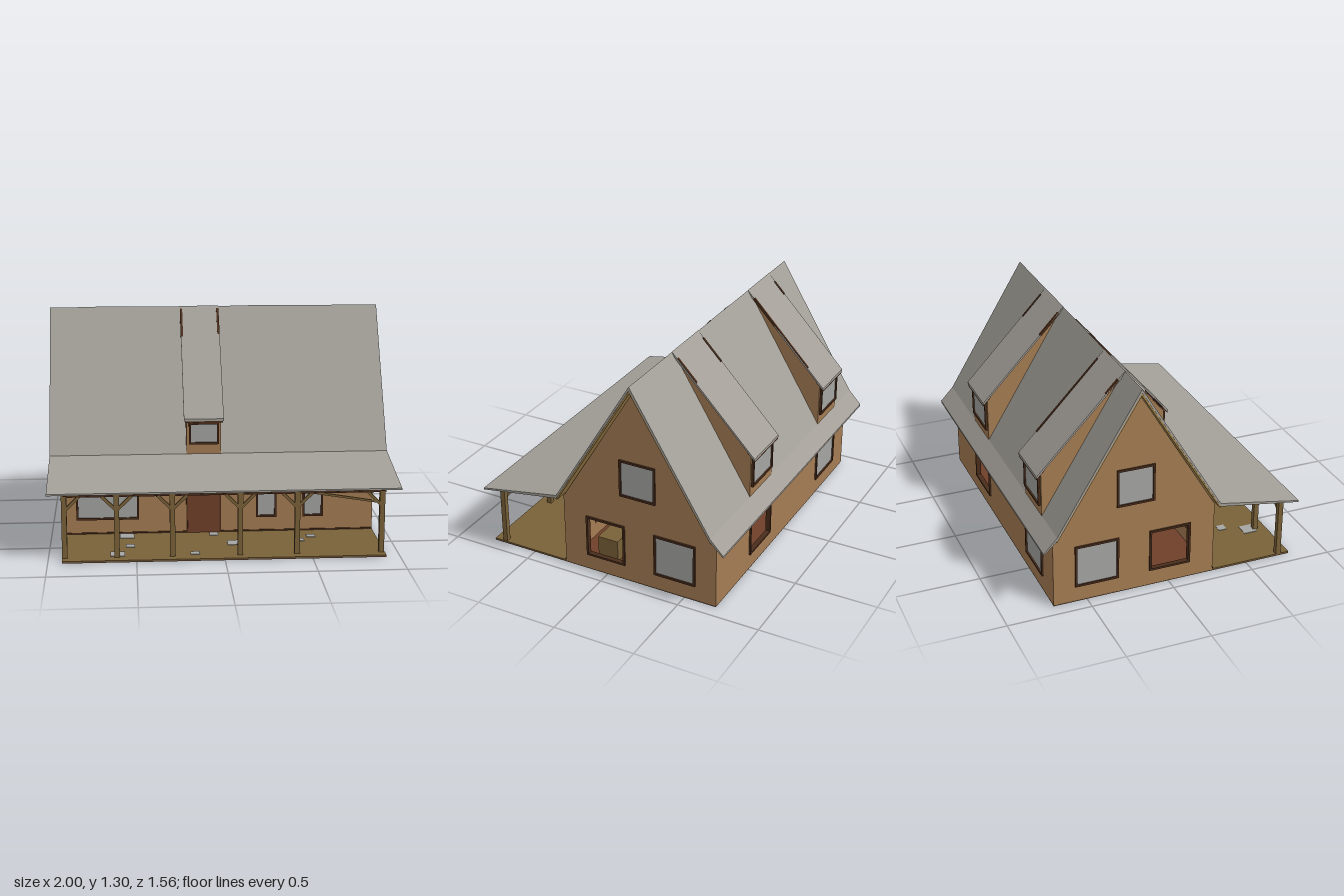
import * as THREE from 'three';

const mat = (name, color, side = THREE.FrontSide) => {
  const m = new THREE.MeshStandardMaterial({ color, side });
  m.name = name;
  return m;
};

export function createModel() {
  const house = new THREE.Group();
  house.name = 'house';
  const M = {
    roof: mat('roof grey', 0xa39f98),
    wall: mat('wall tan', 0xa57c53),
    frame: mat('dark wood', 0x4c2e1c),
    door: mat('door red brown', 0x70402a),
    post: mat('post olive', 0x7a6238),
    soffit: mat('soffit tan', 0xa8884e),
    glass: mat('glass grey', 0xa5a5a3),
    base: mat('base brown', 0x72543a),
  };

  const add = (name, geo, material, parent = house) => {
    const mesh = new THREE.Mesh(geo, material);
    mesh.name = name;
    parent.add(mesh);
    return mesh;
  };
  // box from minimum and maximum corners
  const box = (name, x0, x1, y0, y1, z0, z1, material, parent) => {
    const g = new THREE.BoxGeometry(x1 - x0, y1 - y0, z1 - z0);
    g.translate((x0 + x1) / 2, (y0 + y1) / 2, (z0 + z1) / 2);
    return add(name, g, material, parent);
  };
  // square timber between two points
  const strut = (name, a, b, w, material) => {
    const p = new THREE.Vector3(...a), q = new THREE.Vector3(...b);
    const mesh = add(name, new THREE.BoxGeometry(w, w, p.distanceTo(q)), material);
    mesh.position.copy(p).add(q).multiplyScalar(0.5);
    mesh.lookAt(q);
    return mesh;
  };
  const rect = ([a, b, y0, y1]) =>
    [[a, y0], [b, y0], [b, y1], [a, y1]].map(p => new THREE.Vector2(...p));
  // flat panel with rectangular openings
  const panel = (pts, holes, depth) => {
    const s = new THREE.Shape(pts.map(p => new THREE.Vector2(...p)));
    holes.forEach(h => s.holes.push(new THREE.Path(rect(h))));
    return new THREE.ExtrudeGeometry(s, { depth, bevelEnabled: false });
  };
  // (z, y) outline swept from x0 to x1
  const sweep = (name, zy, x0, x1, material) => {
    const g = panel(zy.map(([z, y]) => [-z, y]), [], x1 - x0);
    g.rotateY(Math.PI / 2).translate(x0, 0, 0);
    return add(name, g, material);
  };
  // window: u range, y range; placed in a group facing +z
  const windowUnit = ([a, b, y0, y1], glazed, mullion) => {
    const g = new THREE.Group();
    g.name = 'window';
    const t = 0.012;
    add('windowFrame', panel(
      [[a - t / 2, y0 - t / 2], [b + t / 2, y0 - t / 2], [b + t / 2, y1 + t / 2], [a - t / 2, y1 + t / 2]],
      [[a + t / 2, b - t / 2, y0 + t / 2, y1 - t / 2]], 0.03).translate(0, 0, -0.02), M.frame, g);
    if (glazed) box('windowGlass', a, b, y0, y1, -0.007, 0.001, M.glass, g);
    if (mullion) box('windowBar', a, b, mullion, mullion + 0.01, -0.005, 0.008, M.frame, g);
    return g;
  };
  // wall with windows; list entries are [u0, u1, y0, y1, glazed, mullion]
  const wall = (name, pts, wins, angle, x, z) => {
    const g = new THREE.Group();
    g.name = name;
    add(name + 'Panel', panel(pts, wins.map(w => w.slice(0, 4)), 0.02).translate(0, 0, -0.02), M.wall, g);
    wins.forEach(w => g.add(windowUnit(w.slice(0, 4), w[4], w[5])));
    g.rotation.y = angle;
    g.position.set(x, 0, z);
    house.add(g);
  };

  // Walls
  const W = 0.92, ZF = 0.28, ZB = -0.70;
  const long = [[-W, 0.005], [W, 0.005], [W, 0.46], [-W, 0.46]];
  wall('frontWall', long, [
    [-0.845, -0.485, 0.105, 0.355, true, 0.29],
    [0.225, 0.335, 0.105, 0.355, true],
    [0.505, 0.615, 0.105, 0.355, true],
  ], 0, 0, ZF);
  wall('backWall', long, [
    [-0.49, -0.22, 0.105, 0.355, false],
    [0.475, 0.745, 0.105, 0.355, true],
  ], Math.PI, 0, ZB);
  const gable = s => [[-ZF * s, 0.005], [-ZB * s, 0.005], [-ZB * s, 0.45], [0.21 * s, 1.26], [-ZF * s, 0.45]];
  const sideWins = (s, top) => [[-0.125, 0.115, 0.105, 0.355, false], [0.315, 0.565, 0.105, 0.355, true],
    [0.10, 0.315, 0.565, 0.785, top]].map(([a, b, ...r]) => (s > 0 ? [a, b, ...r] : [-b, -a, ...r]));
  wall('leftGable', gable(1), sideWins(1, true), Math.PI / 2, W, 0);
  wall('rightGable', gable(-1), sideWins(-1, true), -Math.PI / 2, -W, 0);

  // Base, interior floors, bench and stairs
  box('baseSlab', -W, W, 0, 0.008, ZB, 0.78, M.base);
  box('porchFloor', -W, W, 0.008, 0.012, ZF, 0.78, M.post);
  box('groundFloor', -0.9, 0.9, 0.008, 0.014, -0.68, 0.26, M.door);
  box('upperFloor', -0.9, 0.9, 0.42, 0.44, -0.68, 0.26, M.door);
  box('bench', 0.5, 0.8, 0.014, 0.15, 0.0, 0.13, M.post);
  for (let i = 0; i < 8; i++) {
    box('stairTread', 0.1 + i * 0.05, 0.16 + i * 0.05, 0.04 + i * 0.048, 0.055 + i * 0.048, -0.36, -0.22, M.door);
  }

  // Porch paving patches
  [[0.2, 0.88], [0.21, 0.51], [0.48, 0.9], [0.54, 0.56], [0.75, 0.61], [0.41, 0.2], [0.17, 0.22], [0.79, 0.76]]
    .forEach(([a, b], i) => {
      const x = -W + a * 1.84, z = 0.78 - b * 0.5, r = i % 3 ? 0.026 : 0.042;
      box('pavingPatch', x - r, x + r, 0.012, 0.015, z - r, z + r, M.glass);
    });

  // Door
  box('doorFrame', -0.198, 0.008, 0.012, 0.375, ZF - 0.01, ZF + 0.006, M.frame);
  box('door', -0.19, 0, 0.012, 0.367, ZF, ZF + 0.011, M.door);
  box('frontSill', -W, W, 0.012, 0.02, ZF, ZF + 0.006, M.frame);

  // Main roof, with wooden lining below
  sweep('mainRoof', [[0.78, 0.405], [0.28, 0.495], [-0.21, 1.30], [-0.70, 0.495], [-0.78, 0.41],
    [-0.78, 0.398], [-0.70, 0.475], [-0.21, 1.277], [0.28, 0.475], [0.78, 0.395]], -1, 1, M.roof);
  sweep('roofLining', [[0.28, 0.475], [-0.21, 1.277], [-0.70, 0.475], [-0.70, 0.46],
    [-0.21, 1.258], [0.28, 0.46]], -0.995, 0.995, M.soffit);

  // Porch rafters, beam, posts and braces
  for (let i = 0; i <= 14; i++) {
    const x = -0.9 + i * 1.8 / 14;
    strut('porchRafter', [x, 0.464, 0.28], [x, 0.386, 0.74], 0.018, M.frame);
  }
  box('porchBeam', -W, W, 0.368, 0.392, 0.7, 0.725, M.frame);
  [-0.905, -0.61, -0.295, 0.09, 0.415, 0.9].forEach((x, i) => {
    box('porchPost', x - 0.015, x + 0.015, 0.012, 0.38, 0.697, 0.727, M.post);
    [-1, 1].forEach(s => {
      if ((i === 0 && s < 0) || (i === 5 && s > 0)) return;
      strut('postBrace', [x, 0.285, 0.712], [x + s * 0.085, 0.37, 0.712], 0.017, M.post);
    });
  });
  strut('longBrace', [0.49, 0.372, 0.712], [0.9, 0.305, 0.712], 0.012, M.post);

  // Shed dormers: dir is +1 at the front, -1 at the back
  const dormer = (x0, x1, dir, zWall, yWall, zEave, yEave, trims) => {
    sweep('dormerWalls', dir > 0
      ? [[zWall, 0.48], [zWall, yWall], [-0.21, 1.27], [-0.2, 1.2]]
      : [[zWall, 0.48], [-0.22, 1.2], [-0.21, 1.27], [zWall, yWall]], x0 + 0.015, x1 - 0.015, M.wall);
    const outline = [[zEave, yEave], [-0.21, 1.302], [-0.21, 1.285], [zEave, yEave - 0.014]];
    sweep('dormerRoof', dir > 0 ? outline : outline.reverse(), x0, x1, M.roof);
    sweep('dormerFascia', [[zEave, yEave - 0.014], [zEave - dir * 0.05, yEave + 0.04],
      [zEave - dir * 0.05, yEave + 0.028], [zEave, yEave - 0.022]], x0 + 0.005, x1 - 0.005, M.frame);
    const u = dir > 0 ? [x0, x1] : [-x1, -x0];
    const w = windowUnit([u[0] + 0.035, u[1] - 0.035, 0.56, yWall - 0.02], true);
    w.rotation.y = dir > 0 ? 0 : Math.PI;
    w.position.z = zWall + dir * 0.004;
    house.add(w);
    // dark trim strips along the upper roof edges
    const yAt = z => 1.30 + (yEave - 1.30) * (z + 0.21) / (zEave + 0.21);
    trims.forEach(([x, a, b]) => strut('dormerTrim', [x, yAt(a) - 0.004, a], [x, yAt(b) - 0.004, b], 0.014, M.frame));
  };
  dormer(-0.21, 0.025, 1, 0.28, 0.70, 0.30, 0.71, [[-0.204, -0.2, -0.07], [0.018, -0.2, -0.08]]);
  dormer(-0.765, -0.46, -1, -0.70, 0.765, -0.73, 0.755, [[-0.467, -0.62, -0.25], [-0.758, -0.32, -0.25]]);
  dormer(0.197, 0.517, -1, -0.70, 0.765, -0.73, 0.755, [[0.204, -0.36, -0.24], [0.508, -0.36, -0.24]]);

  return house;
}
